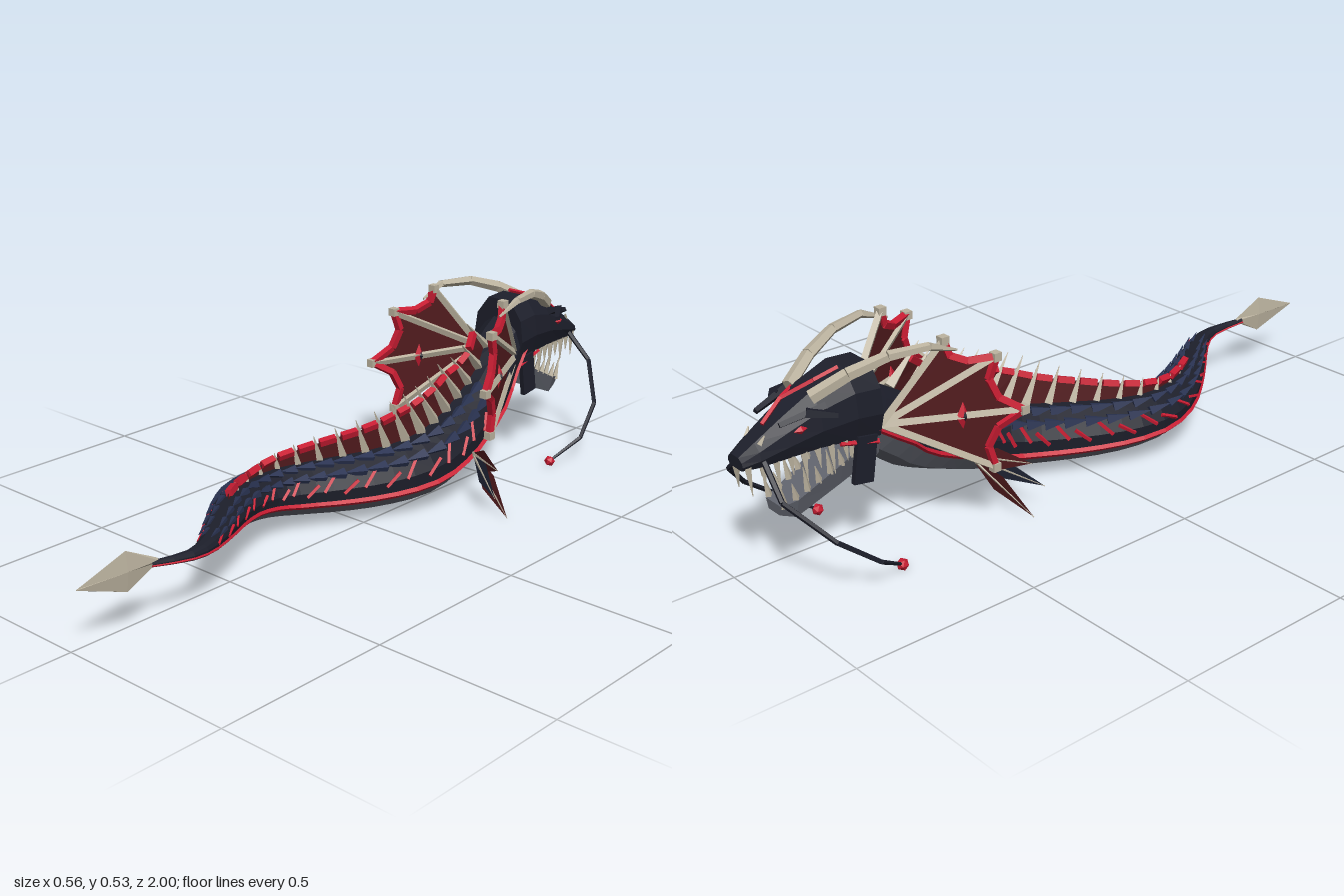
import * as THREE from 'three';

const mat = (name, color, side = THREE.FrontSide) =>
  new THREE.MeshStandardMaterial({ name, color, side, flatShading: true });
const V = (x, y, z) => new THREE.Vector3(x, y, z);
const HX = -0.053; // x of the head's middle line

export function createModel() {
  const hide = mat('dark hide', 0x1d1f2b);
  const belly = mat('slate belly', 0x62656f);
  const red = mat('bright red', 0xc81c32);
  const web = mat('dark red membrane', 0x521b1e, THREE.DoubleSide);
  const bone = mat('bone', 0xbdb4a0);
  const navy = mat('navy scale', 0x2a3352);
  const navyFin = mat('navy fin', 0x23283a, THREE.DoubleSide);
  const root = new THREE.Group();
  root.name = 'seaSerpent';

  const group = (name, parent = root) => {
    const g = new THREE.Group();
    g.name = name;
    parent.add(g);
    return g;
  };
  const add = (parent, name, geo, m) => {
    const mesh = new THREE.Mesh(geo, m);
    mesh.name = name;
    parent.add(mesh);
    return mesh;
  };
  // Tapered bar between two points
  const beam = (parent, name, a, b, r0, r1, m, sides = 4) => {
    const d = b.clone().sub(a);
    const mesh = add(parent, name, new THREE.CylinderGeometry(r1, r0, d.length(), sides), m);
    mesh.position.copy(a).add(b).multiplyScalar(0.5);
    mesh.quaternion.setFromUnitVectors(V(0, 1, 0), d.normalize());
    return mesh;
  };
  const surface = (tris) => {
    const g = new THREE.BufferGeometry().setFromPoints(tris);
    g.computeVertexNormals();
    return g;
  };
  // Skin over cross-sections, each counter-clockwise seen from the far end
  const loft = (rings, closed = true) => {
    const p = [], n = rings[0].length;
    for (let i = 0; i + 1 < rings.length; i++) {
      for (let j = 0; j < (closed ? n : n - 1); j++) {
        const k = (j + 1) % n, A = rings[i], B = rings[i + 1];
        p.push(A[j], A[k], B[k], A[j], B[k], B[j]);
      }
    }
    if (closed) {
      const A = rings[0], B = rings[rings.length - 1];
      for (let j = 1; j + 1 < n; j++) p.push(A[0], A[j + 1], A[j], B[0], B[j], B[j + 1]);
    }
    return surface(p);
  };

  // Spine stations from neck to tail: x, y, z, half width, half height
  const spine = [
    [-0.053, 0.385, -0.7, 0.07, 0.07], [-0.04, 0.31, -0.6, 0.08, 0.085],
    [-0.01, 0.235, -0.5, 0.085, 0.09], [0.005, 0.185, -0.4, 0.09, 0.09],
    [0.015, 0.147, -0.3, 0.095, 0.09], [0.01, 0.122, -0.2, 0.098, 0.088],
    [-0.025, 0.11, -0.1, 0.097, 0.083], [-0.075, 0.106, 0, 0.093, 0.08],
    [-0.125, 0.107, 0.1, 0.087, 0.074], [-0.155, 0.113, 0.2, 0.08, 0.066],
    [-0.143, 0.123, 0.3, 0.068, 0.056], [-0.095, 0.135, 0.4, 0.055, 0.045],
    [-0.03, 0.143, 0.5, 0.042, 0.034], [0.035, 0.152, 0.6, 0.027, 0.022],
    [0.06, 0.158, 0.68, 0.016, 0.014], [0.045, 0.168, 0.79, 0.008, 0.008],
  ];
  const path = new THREE.CatmullRomCurve3(spine.map((s) => V(s[0], s[1], s[2])), false, 'catmullrom');
  const size = new THREE.CatmullRomCurve3(spine.map((s) => V(s[3], s[4], 0)), false, 'catmullrom');
  const atZ = (z) => (z + 0.7) / 1.5;
  // Point on the skin at path position t and angle in degrees
  const skin = (t, deg, k = 1, lift = 0) => {
    const T = path.getTangent(t), side = V(0, 1, 0).cross(T).normalize();
    const up = T.clone().cross(side), s = size.getPoint(t), a = THREE.MathUtils.degToRad(deg);
    return path.getPoint(t)
      .addScaledVector(side, Math.cos(a) * (s.x * k + lift))
      .addScaledVector(up, Math.sin(a) * (s.y * k + lift));
  };
  const N = 30;
  const steps = Array.from({ length: N + 1 }, (_, i) => i / N);
  const body = group('body');
  add(body, 'back', loft(steps.map((t) => [-20, 10, 40, 70, 110, 140, 170, 200].map((a) => skin(t, a))), false), hide);
  add(body, 'bellySkin', loft(steps.map((t) => [200, 235, 270, 305, 340].map((a) => skin(t, a))), false), belly);
  for (const a of [-19, 199]) {
    add(body, 'sideStripe', loft(steps.map((t) => {
      const c = skin(t, a, 1.01), r = 0.002 + 0.07 * size.getPoint(t).x;
      return [0, 1, 2, 3].map((q) => V(c.x + r * Math.cos(q * Math.PI / 2), c.y + r * Math.sin(q * Math.PI / 2), c.z));
    })), red);
  }

  // Slanting red ribs and overlapping back scales
  const scales = group('scales');
  for (let i = 0; i < 21; i++) {
    const t = atZ(-0.48 + i * 0.052), w = size.getPoint(t).x;
    for (const m of [0, 1]) {
      const f = (a) => (m ? 180 - a : a);
      beam(scales, 'redRib', skin(t + 0.025, f(i % 2 ? 2 : 8), 1), skin(t, f(i % 2 ? 24 : 42), 1),
        0.003 + w * 0.03, 0.003 + w * 0.03, red);
      for (const a of [40, 66]) {
        const u = t - (a === 40 ? 0.015 : 0);
        beam(scales, 'backScale', skin(u, f(a), 0.94), skin(u + 0.035, f(a), 1.02, 0.006), w * 0.2, 0.001, navy);
      }
    }
  }

  // Dorsal sail: spikes, membrane and red edge blocks
  const sail = group('dorsalSail');
  const sailAt = (z) => {
    const h = THREE.MathUtils.clamp(0.065 - z * 0.17, 0.016, 0.1) * (z < -0.45 ? 0.85 : 1);
    const t = atZ(z), base = skin(t, 90, 0.95);
    return { h, base, top: skin(t, 90, 1, h * 0.8).add(V(0, 0, h * 0.25)), tip: skin(t, 90, 1, h * 1.25).add(V(0, 0, h * 0.45)) };
  };
  for (let i = 0; i < 17; i++) {
    const A = sailAt(-0.6 + i * 0.06), B = sailAt(-0.54 + i * 0.06);
    beam(sail, 'spike', A.base, A.tip, 0.006 + A.h * 0.12, 0.001, bone);
    add(sail, 'membrane', surface([A.base, B.base, B.top, A.base, B.top, A.top]), web);
    beam(sail, 'edgeBlock', A.top.clone().lerp(B.top, 0.12), A.top.clone().lerp(B.top, 0.85), 0.012, 0.012, red);
  }

  // Tail fin: thin upright diamond
  add(root, 'tailFin', loft([[0.77, 0.006, 0.004, 0.047], [0.86, 0.052, 0.006, 0.042], [1, 0.001, 0.001, 0.035]].map(
    ([z, h, w, x]) => [V(x + w, 0.173, z), V(x, 0.173 + h, z), V(x - w, 0.173, z), V(x, 0.173 - h, z)])), bone);

  // Head: octagonal sections from snout to nape (z, half width, top, bottom)
  const head = group('head');
  head.position.x = HX;
  const octa = ([z, w, t, b]) => {
    const m = b + (t - b) * 0.35, n = b + (t - b) * 0.7;
    return [V(w, m, z), V(w * 0.9, n, z), V(w * 0.45, t, z), V(-w * 0.45, t, z),
      V(-w * 0.9, n, z), V(-w, m, z), V(-w * 0.8, b, z), V(w * 0.8, b, z)];
  };
  add(head, 'skull', loft([
    [-1, 0.032, 0.345, 0.315], [-0.96, 0.046, 0.372, 0.315], [-0.89, 0.06, 0.415, 0.32],
    [-0.81, 0.075, 0.46, 0.325], [-0.72, 0.087, 0.492, 0.32], [-0.65, 0.088, 0.488, 0.31],
  ].map(octa)), hide);
  const slab = ([z, w, t, b]) => [V(w, t, z), V(-w, t, z), V(-w * 0.7, b, z), V(w * 0.7, b, z)];
  add(head, 'lowerJaw', loft([
    [-0.91, 0.034, 0.195, 0.17], [-0.87, 0.046, 0.205, 0.155], [-0.75, 0.058, 0.265, 0.205], [-0.64, 0.062, 0.325, 0.25],
  ].map(slab)), belly);
  // Red zigzag on the brow
  const brow = [V(0, 0.4, -0.925), V(0.02, 0.44, -0.86), V(-0.012, 0.474, -0.79), V(-0.025, 0.494, -0.73)];
  for (let i = 0; i < 3; i++) beam(head, 'browMark', brow[i], brow[i + 1], 0.006, 0.006, red);
  beam(head, 'browMark', brow[1], V(0.045, 0.455, -0.8), 0.006, 0.005, red);

  for (const s of [-1, 1]) {
    const P = (x, y, z) => V(s * x, y, z);
    const chain = (name, pts, radii, m) => {
      for (let i = 0; i + 1 < pts.length; i++) beam(head, name, P(...pts[i]), P(...pts[i + 1]), radii[i], radii[i + 1], m, 5);
    };
    // Eyes, brow ridges, cheek plates and nostrils
    const eye = add(head, 'eye', new THREE.OctahedronGeometry(0.015), red);
    eye.position.copy(P(0.063, 0.388, -0.862));
    eye.scale.set(0.6, 0.7, 1.3);
    beam(head, 'browRidge', P(0.05, 0.41, -0.91), P(0.075, 0.435, -0.8), 0.008, 0.012, hide);
    beam(head, 'earFin', P(0.07, 0.43, -0.85), P(0.11, 0.42, -0.79), 0.014, 0.008, hide);
    const cheek = add(head, 'cheekPlate', new THREE.BoxGeometry(0.014, 0.12, 0.055), hide);
    cheek.position.copy(P(0.072, 0.265, -0.7));
    cheek.rotation.x = 0.15;
    beam(head, 'nostril', P(0.028, 0.368, -0.95), P(0.034, 0.388, -0.94), 0.008, 0.002, bone);
    beam(head, 'gumLine', P(0.066, 0.32, -0.76), P(0.075, 0.3, -0.66), 0.006, 0.008, red);
    // Teeth
    for (let i = 0; i < 8; i++) {
      const z = -0.985 + i * 0.034, x = 0.026 + i * 0.005, len = i % 2 ? 0.05 : 0.075;
      beam(head, 'upperTooth', P(x, 0.325, z), P(x + 0.004, 0.322 - len, z + 0.006), 0.011, 0.001, bone);
    }
    for (let i = 0; i < 7; i++) {
      const z = -0.9 + i * 0.03, x = 0.032 + i * 0.004, y = 0.19 + i * 0.014;
      beam(head, 'lowerTooth', P(x, y, z), P(x + 0.004, y + (i % 2 ? 0.045 : 0.065), z - 0.012), 0.01, 0.001, bone);
    }
    // Whiskers ending in lures
    chain('whisker', [[0.04, 0.33, -0.95], [0.115, 0.255, -0.955], [0.2, 0.157, -0.87], [0.224, 0.08, -0.77], [0.18, 0.02, -0.68]],
      [0.008, 0.007, 0.0065, 0.006, 0.004], hide);
    const lure = add(head, 'lure', new THREE.IcosahedronGeometry(0.016, 0), red);
    lure.position.copy(P(0.18, 0.02, -0.68));
    // Swept horns
    chain('horn', [[0.045, 0.45, -0.82], [0.08, 0.495, -0.74], [0.112, 0.525, -0.65], [0.138, 0.53, -0.55], [0.138, 0.5, -0.47]],
      [0.018, 0.017, 0.014, 0.011, 0.003], bone);

    // Neck frill: four bone rays, webbing and red rim
    const frill = group('neckFrill', head);
    const hub = P(0.066, 0.335, -0.645);
    const tips = [P(0.125, 0.528, -0.5), P(0.177, 0.472, -0.385), P(0.207, 0.326, -0.325), P(0.175, 0.18, -0.39)];
    tips.forEach((tip, i) => {
      beam(frill, 'ray', hub, tip, 0.012, 0.011, bone);
      const knob = add(frill, 'rayTip', new THREE.BoxGeometry(0.022, 0.022, 0.022), bone);
      knob.position.copy(tip);
      if (i === 3) return;
      const next = tips[i + 1];
      const a = tip.clone().lerp(next, 0.3).lerp(hub, 0.13), b = tip.clone().lerp(next, 0.7).lerp(hub, 0.13);
      add(frill, 'web', surface([hub, tip, a, hub, a, b, hub, b, next]), web);
      [[tip, a], [a, b], [b, next]].forEach(([p, q]) => beam(frill, 'rim', p, q, 0.012, 0.012, red));
    });
    const spot = hub.clone().lerp(tips[2], 0.57);
    [[red, 0.012, 0.036, 0.02], [hide, 0.016, 0.026, 0.012]].forEach(([m, x, y, z]) => {
      const o = add(frill, 'frillSpot', new THREE.OctahedronGeometry(1), m);
      o.position.copy(spot);
      o.scale.set(x, y, z);
    });

    // Side fins: three pointed blades with bone ribs
    const fin = group('sideFin');
    const base = V(0.015 + s * 0.085, 0.135, -0.345);
    [[0.235, 0.143, -0.265, web], [0.25, 0.075, -0.235, navyFin], [0.26, 0.006, -0.28, web]].forEach(([x, y, z, m]) => {
      const tip = V(0.015 + s * x, y, z), mid = base.clone().lerp(tip, 0.45);
      const d = tip.clone().sub(base).normalize(), w = V(-d.y, d.x, 0).normalize().multiplyScalar(0.031);
      const u = mid.clone().add(w), v = mid.clone().sub(w);
      add(fin, 'blade', surface([base, v, tip, base, tip, u]), m);
      beam(fin, 'rib', base, tip, 0.005, 0.001, bone);
    });
  }
  return root;
}
